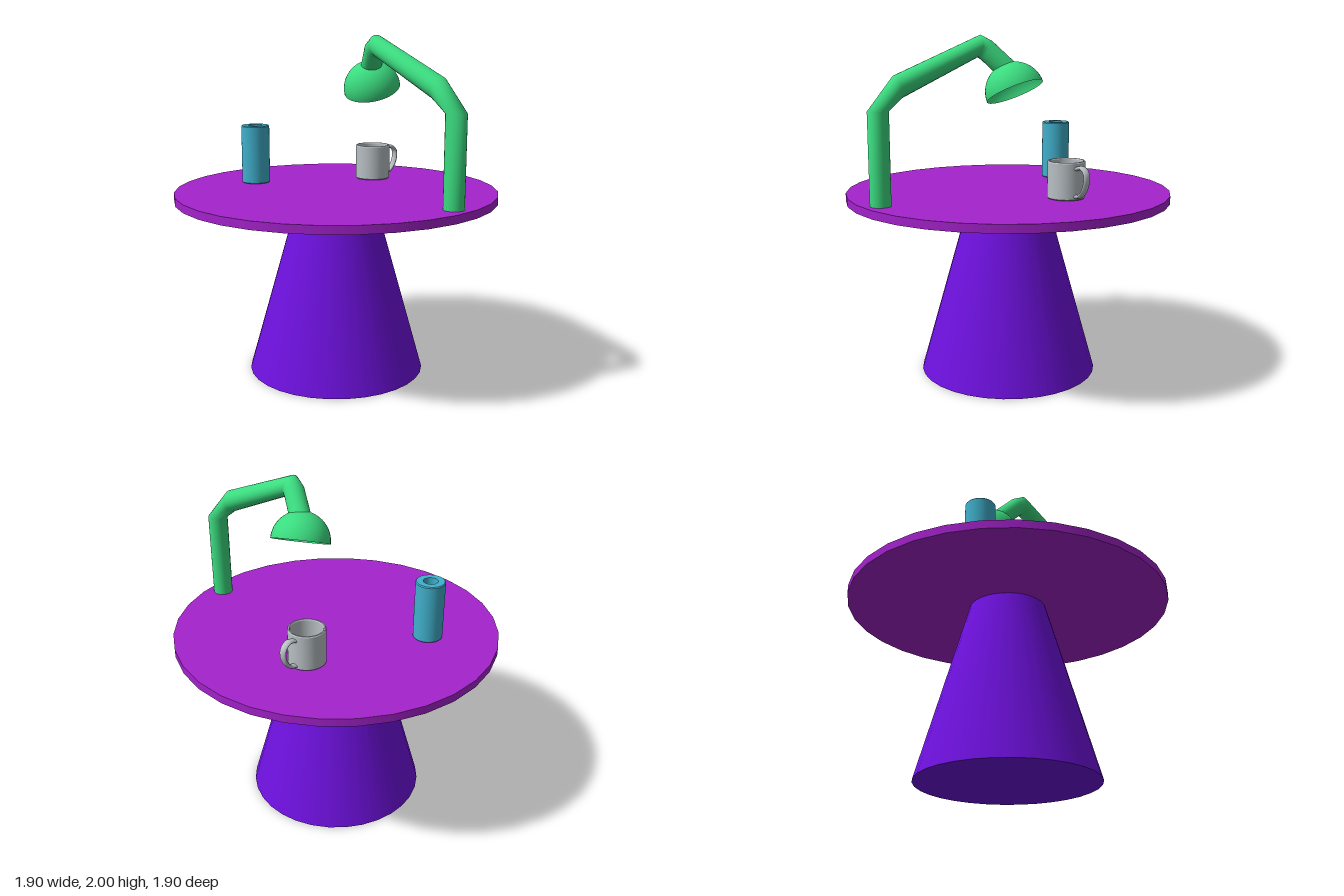
import * as THREE from 'three';

const mat = (name, color, side = THREE.FrontSide) => {
  const m = new THREE.MeshStandardMaterial({ color, side });
  m.name = name;
  return m;
};
const V = (x, y, z) => new THREE.Vector3(x, y, z);

// Tube skinned through rings of [centre, normal, radius], with end caps
function ringTube(rings, sides = 24) {
  const pos = [], idx = [];
  const addRing = ([c, n, r]) => {
    const dir = n.clone().normalize();
    const u = V(1, 0, 0).addScaledVector(dir, -dir.x).normalize();
    const w = new THREE.Vector3().crossVectors(dir, u);
    for (let j = 0; j < sides; j++) {
      const a = (j / sides) * Math.PI * 2;
      const p = c.clone().addScaledVector(u, r * Math.cos(a)).addScaledVector(w, r * Math.sin(a));
      pos.push(p.x, p.y, p.z);
    }
  };
  rings.forEach(addRing);
  for (let i = 0; i < rings.length - 1; i++) {
    for (let j = 0; j < sides; j++) {
      const k = (j + 1) % sides, a = i * sides, b = a + sides;
      idx.push(a + j, a + k, b + k, a + j, b + k, b + j);
    }
  }
  // caps have their own vertices so the edges stay sharp
  const cap = (ring, flip) => {
    const start = pos.length / 3;
    addRing(ring);
    const c = pos.length / 3;
    pos.push(ring[0].x, ring[0].y, ring[0].z);
    for (let j = 0; j < sides; j++) {
      const k = (j + 1) % sides;
      if (flip) idx.push(c, start + k, start + j);
      else idx.push(c, start + j, start + k);
    }
  };
  cap(rings[0], true);
  cap(rings[rings.length - 1], false);
  const g = new THREE.BufferGeometry();
  g.setAttribute('position', new THREE.Float32BufferAttribute(pos, 3));
  g.setIndex(idx);
  g.computeVertexNormals();
  return g;
}

// Lathe with sharp corners: one strip per pair of profile points
function sharpLathe(name, profile, material, sides = 40) {
  const group = new THREE.Group();
  group.name = name;
  for (let i = 0; i < profile.length - 1; i++) {
    const pts = [profile[i], profile[i + 1]].map(([r, y]) => new THREE.Vector2(r, y));
    const m = new THREE.Mesh(new THREE.LatheGeometry(pts, sides), material);
    m.name = name + 'Surface';
    group.add(m);
  }
  return group;
}

export function createModel() {
  const model = new THREE.Group();
  model.name = 'tableWithLamp';
  const purple = mat('tabletopPurple', 0xa422cc);
  const violet = mat('baseViolet', 0x6d10dc);
  const green = mat('lampGreen', 0x3bdc80, THREE.DoubleSide);
  const blue = mat('canBlue', 0x40b0cc, THREE.DoubleSide);
  const grey = mat('mugGrey', 0xb8c0c4, THREE.DoubleSide);
  const add = (name, geo, material, parent = model) => {
    const m = new THREE.Mesh(geo, material);
    m.name = name;
    parent.add(m);
    return m;
  };

  // Table
  add('tableBase', new THREE.CylinderGeometry(0.225, 0.525, 1.06, 32), violet).position.y = 0.53;
  add('tabletop', new THREE.CylinderGeometry(0.95, 0.95, 0.047, 32), purple).position.y = 1.0775;

  // Lamp: bent arm and tilted half-sphere shade
  const lamp = new THREE.Group();
  lamp.name = 'lamp';
  model.add(lamp);
  add('lampArm', ringTube([
    [V(0.092, 1.1, 0.847), V(0, 1, 0), 0.058],
    [V(0.092, 1.607, 0.847), V(0, 1, 0), 0.058],
    [V(0.082, 1.731, 0.727), V(0, 0.32, -0.95), 0.063],
    [V(0.095, 1.94, 0.243), V(0.1, -0.15, -0.98), 0.061],
    [V(0.112, 1.915, 0.203), V(0.32, -0.5, -0.8), 0.06],
    [V(0.185, 1.79, 0.09), V(0.42, -0.7, -0.58), 0.06],
  ]), green, lamp);
  const shade = add('lampShade',
    new THREE.SphereGeometry(0.166, 40, 16, 0, Math.PI * 2, 0, Math.PI / 2), green, lamp);
  shade.position.set(0.21, 1.69, 0.08);
  shade.quaternion.setFromUnitVectors(V(0, 1, 0), V(-0.4, 0.9, 0.18).normalize());

  // Can with a hole down the middle
  const can = sharpLathe('can', [
    [0.042, 1.104], [0.08, 1.104], [0.085, 1.109], [0.085, 1.45],
    [0.08, 1.456], [0.042, 1.456], [0.042, 1.104],
  ], blue);
  can.position.set(-0.232, 0, -0.49);
  model.add(can);

  // Mug with a hollow cup and a flat, looped handle
  const mug = new THREE.Group();
  mug.name = 'mug';
  mug.position.set(0.416, 0, -0.131);
  model.add(mug);
  mug.add(sharpLathe('mugCup', [
    [0, 1.105], [0.1, 1.105], [0.106, 1.111], [0.106, 1.31],
    [0.102, 1.316], [0.095, 1.316], [0.091, 1.31], [0.091, 1.12], [0, 1.12],
  ], grey));
  const path = new THREE.CatmullRomCurve3([
    V(0.098, 1.28, 0), V(0.15, 1.292, 0), V(0.187, 1.268, 0), V(0.193, 1.225, 0),
    V(0.175, 1.175, 0), V(0.14, 1.138, 0), V(0.098, 1.125, 0),
  ]);
  add('mugHandle', new THREE.TubeGeometry(path, 32, 0.011, 12), grey, mug).scale.z = 1.9;

  return model;
}
